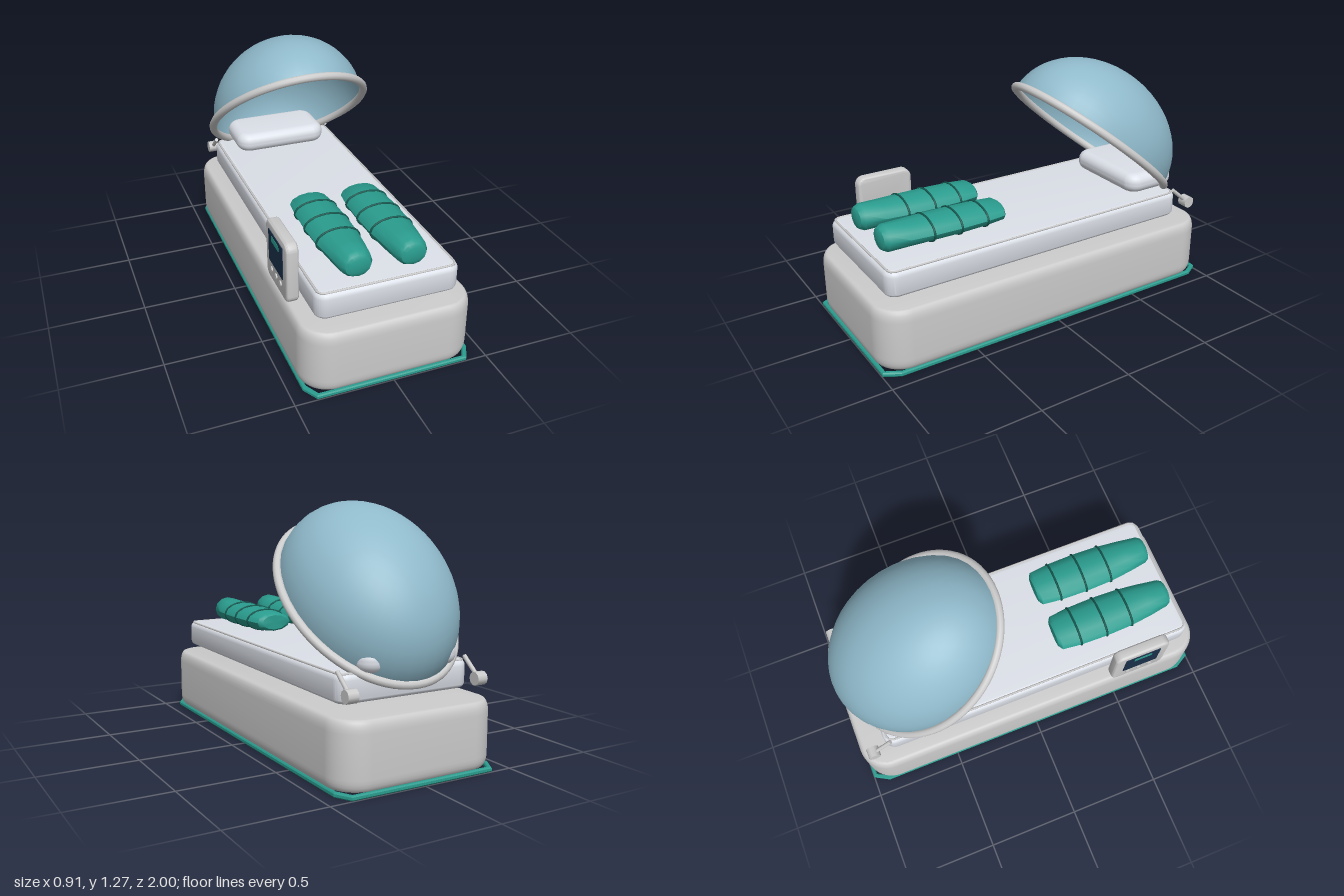
import * as THREE from 'three';
import { toCreasedNormals } from 'three/addons/utils/BufferGeometryUtils.js';

const paint = (color) => new THREE.MeshStandardMaterial({ color });
const grey = paint(0xcccccc);
const cloth = paint(0xdce0e8);
const teal = paint(0x2a9d8f);
const darkTeal = paint(0x14584f);
const navy = paint(0x1a2f4a);
const glass = paint(0x8fb9ca);
glass.side = THREE.DoubleSide;

function add(parent, name, geometry, material, x = 0, y = 0, z = 0) {
  const mesh = new THREE.Mesh(geometry, material);
  mesh.name = name;
  mesh.position.set(x, y, z);
  parent.add(mesh);
  return mesh;
}

function roundedRect(w, d, r) {
  const s = new THREE.Shape();
  const x = w / 2, y = d / 2, q = Math.PI / 2;
  s.absarc(x - r, y - r, r, 0, q);
  s.absarc(-x + r, y - r, r, q, 2 * q);
  s.absarc(-x + r, -y + r, r, 2 * q, 3 * q);
  s.absarc(x - r, -y + r, r, 3 * q, 4 * q);
  return s;
}

// Upright soft-edged slab: w along x, d along z, standing on y = 0
function slab(w, d, h, r, bevel, bevelHeight = bevel) {
  const geo = new THREE.ExtrudeGeometry(roundedRect(w - 2 * bevel, d - 2 * bevel, r), {
    depth: h - 2 * bevelHeight, bevelEnabled: true, bevelSize: bevel,
    bevelThickness: bevelHeight, bevelSegments: 5, curveSegments: 8,
  });
  geo.translate(0, 0, bevelHeight);
  geo.rotateX(-Math.PI / 2);
  return toCreasedNormals(geo, 0.7);
}

// Closed elliptical or rounded loop of tube lying flat
function loopTube(points, radius, steps, sides) {
  const curve = new THREE.CatmullRomCurve3(points, true);
  return new THREE.TubeGeometry(curve, steps, radius, sides, true);
}

// Smooth body from elliptical cross-sections [z, rx, ry], closed at both ends
function loft(sections, sides) {
  const pos = [], index = [];
  sections.forEach(([z, rx, ry]) => {
    for (let i = 0; i < sides; i++) {
      const a = (i / sides) * Math.PI * 2;
      pos.push(Math.cos(a) * rx, Math.sin(a) * ry, z);
    }
  });
  for (let s = 0; s < sections.length - 1; s++) {
    for (let i = 0; i < sides; i++) {
      const a = s * sides + i, b = s * sides + (i + 1) % sides;
      index.push(a, b, b + sides, a, b + sides, a + sides);
    }
  }
  const geo = new THREE.BufferGeometry();
  geo.setAttribute('position', new THREE.Float32BufferAttribute(pos, 3));
  geo.setIndex(index);
  return toCreasedNormals(geo, 0.75);
}

function octagon(x, z, cx, cz) {
  return [[x, z - cz], [x - cx, z], [cx - x, z], [-x, z - cz],
    [-x, cz - z], [cx - x, -z], [x - cx, -z], [x, cz - z]]
    .map(([a, b]) => new THREE.Vector2(a, b));
}

export function createModel() {
  const model = new THREE.Group();
  model.name = 'medicalPod';

  // Base and the light strip round its foot
  add(model, 'base', slab(0.88, 2, 0.325, 0.13, 0.025, 0.06), grey, 0, 0.02, 0);
  const stripShape = new THREE.Shape(octagon(0.435, 1, 0.045, 0.08));
  stripShape.holes.push(new THREE.Path(octagon(0.413, 0.978, 0.037, 0.07)));
  const strip = new THREE.ExtrudeGeometry(stripShape, {
    depth: 0.012, bevelSize: 0.005, bevelThickness: 0.006, bevelOffset: -0.005, bevelSegments: 1,
  });
  strip.translate(0, 0, 0.006).rotateX(-Math.PI / 2);
  add(model, 'lightStrip', strip, teal);

  // Mattress with piping, underside and pillow
  add(model, 'mattress', slab(0.73, 1.78, 0.14, 0.03, 0.03), cloth, 0, 0.38, 0.04);
  add(model, 'mattressUnderside', slab(0.66, 1.5, 0.03, 0.05, 0.02, 0.012), grey, 0, 0.37, 0.03);
  const pipingPoints = roundedRect(0.695, 1.74, 0.03).getPoints(6).slice(0, -1)
    .map((p) => new THREE.Vector3(p.x, 0, p.y));
  add(model, 'piping', loopTube(pipingPoints, 0.006, 200, 6), grey, 0, 0.517, 0.04);
  add(model, 'pillow', slab(0.54, 0.32, 0.11, 0.03, 0.05), cloth, 0, 0.515, -0.75);

  // Padded leg wraps with straps
  const sections = [
    [0.2, 0, 0], [0.2, 0.075, 0.04], [0.215, 0.1, 0.05], [0.32, 0.112, 0.056],
    [0.47, 0.116, 0.06], [0.62, 0.111, 0.062], [0.74, 0.097, 0.064], [0.84, 0.08, 0.069],
    [0.865, 0.065, 0.055], [0.872, 0.04, 0.035], [0.875, 0, 0],
  ];
  for (const side of [1, -1]) {
    const wrap = new THREE.Group();
    wrap.name = side > 0 ? 'leftLegWrap' : 'rightLegWrap';
    wrap.position.set(side * 0.14, 0.594, 0);
    model.add(wrap);
    add(wrap, 'padding', loft(sections, 12), teal);
    for (const [z, rx, ry] of [sections[3], sections[4], sections[5]]) {
      const points = [];
      for (let i = 0; i < 12; i++) {
        const a = (i / 12) * Math.PI * 2;
        points.push(new THREE.Vector3(Math.cos(a) * rx, Math.sin(a) * ry, 0));
      }
      add(wrap, 'strap', loopTube(points, 0.006, 36, 6), darkTeal, 0, 0, z);
    }
  }

  // Open canopy: half ellipsoid with a rim, tilted back
  const canopy = new THREE.Group();
  canopy.name = 'canopy';
  canopy.position.set(0, 0.8, -0.5);
  canopy.rotation.x = -0.695;
  model.add(canopy);
  const dome = new THREE.SphereGeometry(1, 40, 16, 0, Math.PI * 2, 0, Math.PI / 2);
  dome.scale(0.425, 0.41, 0.54);
  add(canopy, 'dome', dome, glass);
  const rimPoints = [];
  for (let i = 0; i < 32; i++) {
    const a = (i / 32) * Math.PI * 2;
    rimPoints.push(new THREE.Vector3(Math.cos(a) * 0.436, 0, Math.sin(a) * 0.542));
  }
  add(canopy, 'rim', loopTube(rimPoints, 0.022, 80, 10), grey);

  // Hinges: a barrel across and a thin arm along the canopy's tilt
  for (const side of [1, -1]) {
    const hinge = new THREE.Group();
    hinge.name = side > 0 ? 'leftHinge' : 'rightHinge';
    hinge.position.set(side * 0.357, 0.443, -0.925);
    model.add(hinge);
    const barrel = new THREE.CylinderGeometry(0.033, 0.033, 0.055, 10);
    add(hinge, 'barrel', barrel.rotateZ(Math.PI / 2), grey);
    const arm = new THREE.CylinderGeometry(0.011, 0.011, 0.14, 8);
    arm.translate(0, 0.07, 0).rotateX(0.876);
    add(hinge, 'arm', arm, grey);
  }

  // Control panel on the right side, screen facing outward
  const panel = new THREE.Group();
  panel.name = 'controlPanel';
  panel.position.set(-0.38, 0.53, 0.59);
  panel.rotation.z = Math.PI / 2;
  model.add(panel);
  add(panel, 'housing', slab(0.32, 0.31, 0.062, 0.03, 0.015), grey);
  add(panel, 'screen', new THREE.BoxGeometry(0.17, 0.008, 0.2), navy, 0.035, 0.062, 0);
  add(panel, 'readout', new THREE.BoxGeometry(0.03, 0.006, 0.1), teal, 0.09, 0.065, 0);
  for (const z of [-0.065, 0, 0.065]) {
    add(panel, 'button', new THREE.CylinderGeometry(0.014, 0.014, 0.01, 12), grey, -0.09, 0.064, z);
  }
  return model;
}
